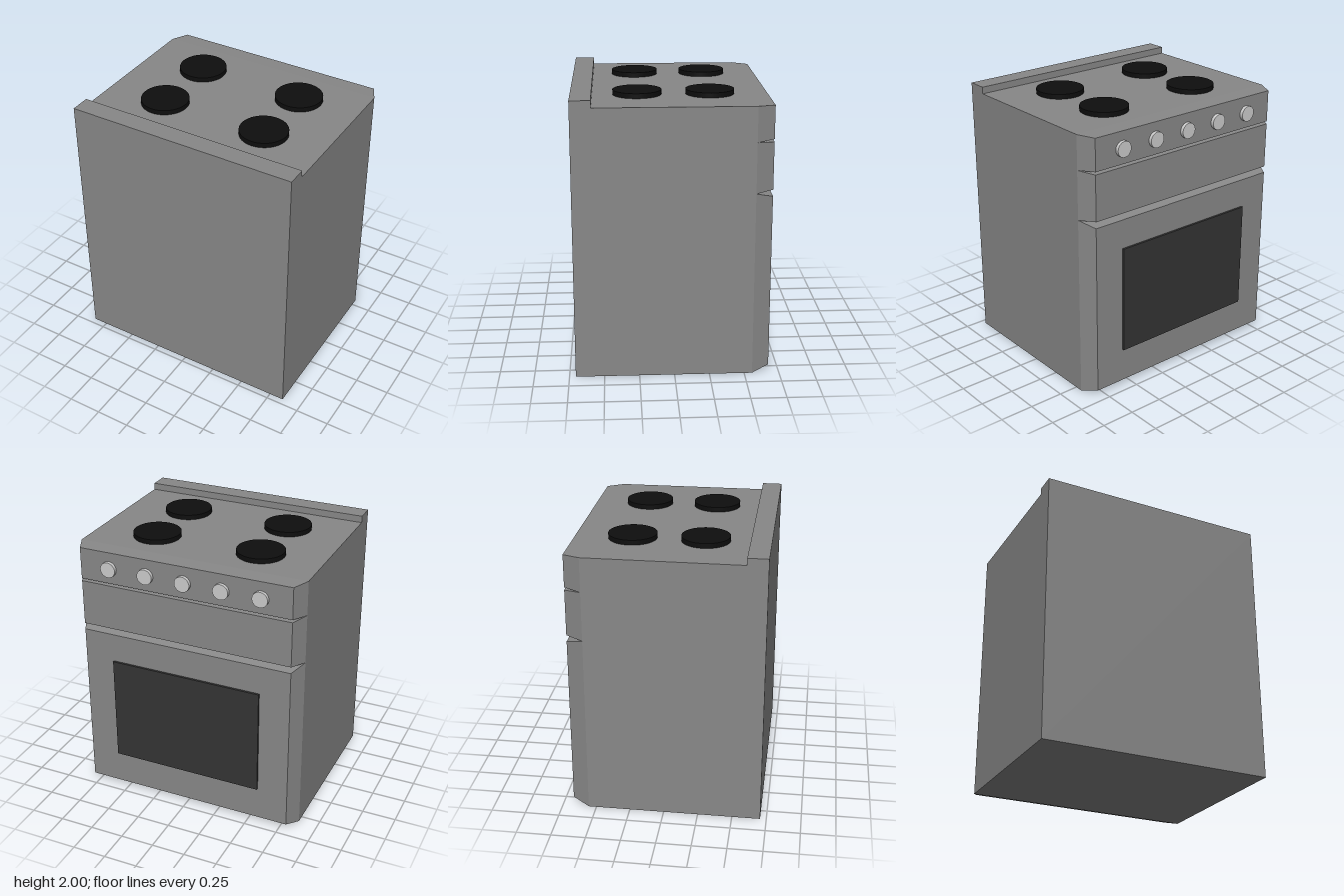
import * as THREE from 'three';

const W = 0.857;           // half width of the cabinet
const BACK = 0.705;        // rear wall
const SEAM = -0.557;       // where cabinet meets the fascia blocks
const FACE = -0.68;        // outer plane of the fascia blocks

const paint = (color) => new THREE.MeshStandardMaterial({ color });

export function createModel() {
  const model = new THREE.Group();
  model.name = 'stove';
  const enamel = paint(0x888888);
  const metal = paint(0xcccccc);
  const glass = paint(0x343434);
  const iron = paint(0x0e0e0e);

  const add = (name, geometry, material, x = 0, y = 0, z = 0) => {
    const mesh = new THREE.Mesh(geometry, material);
    mesh.name = name;
    mesh.position.set(x, y, z);
    model.add(mesh);
    return mesh;
  };

  // Cabinet with raised rear ledge: side profile (z, y) extruded across the width
  const profile = new THREE.Shape([
    [SEAM, 0], [BACK, 0], [BACK, 2], [0.56, 2], [0.56, 1.95], [SEAM, 1.95],
  ].map(([z, y]) => new THREE.Vector2(z, y)));
  const cabinet = new THREE.ExtrudeGeometry(profile, { depth: 2 * W, bevelEnabled: false });
  cabinet.rotateY(-Math.PI / 2).translate(W, 0, 0);
  add('cabinet', cabinet, enamel);

  // Fascia block: a box whose outer face is narrowed to [y0, y1] and to the inner width
  const fascia = (name, seamY, faceY) => {
    const g = new THREE.BoxGeometry(1, 1, 1);
    const p = g.attributes.position;
    for (let i = 0; i < p.count; i++) {
      const outer = p.getZ(i) < 0;
      const ys = outer ? faceY : seamY;
      p.setXYZ(i, Math.sign(p.getX(i)) * (outer ? 0.8 : W),
        ys[p.getY(i) > 0 ? 1 : 0], outer ? FACE : SEAM);
    }
    g.computeVertexNormals();
    add(name, g, enamel);
  };
  fascia('controlPanel', [1.7, 1.95], [1.71, 1.945]);
  fascia('drawer', [1.34, 1.7], [1.353, 1.69]);
  fascia('ovenDoor', [0, 1.34], [0.037, 1.305]);

  // Oven window
  add('ovenWindow', new THREE.BoxGeometry(1.146, 0.8, 0.02), glass, 0, 0.69, FACE - 0.006);

  // Control knobs
  const knob = new THREE.CylinderGeometry(0.057, 0.057, 0.03, 32).rotateX(Math.PI / 2);
  for (let i = -2; i <= 2; i++) add('knob', knob, metal, i * 0.2865, 1.822, -0.69);

  // Hot plates
  const plate = new THREE.CylinderGeometry(0.172, 0.172, 0.04, 48);
  for (const x of [-0.4, 0.4]) {
    for (const z of [-0.27, 0.243]) add('hotPlate', plate, iron, x, 1.965, z);
  }

  return model;
}
